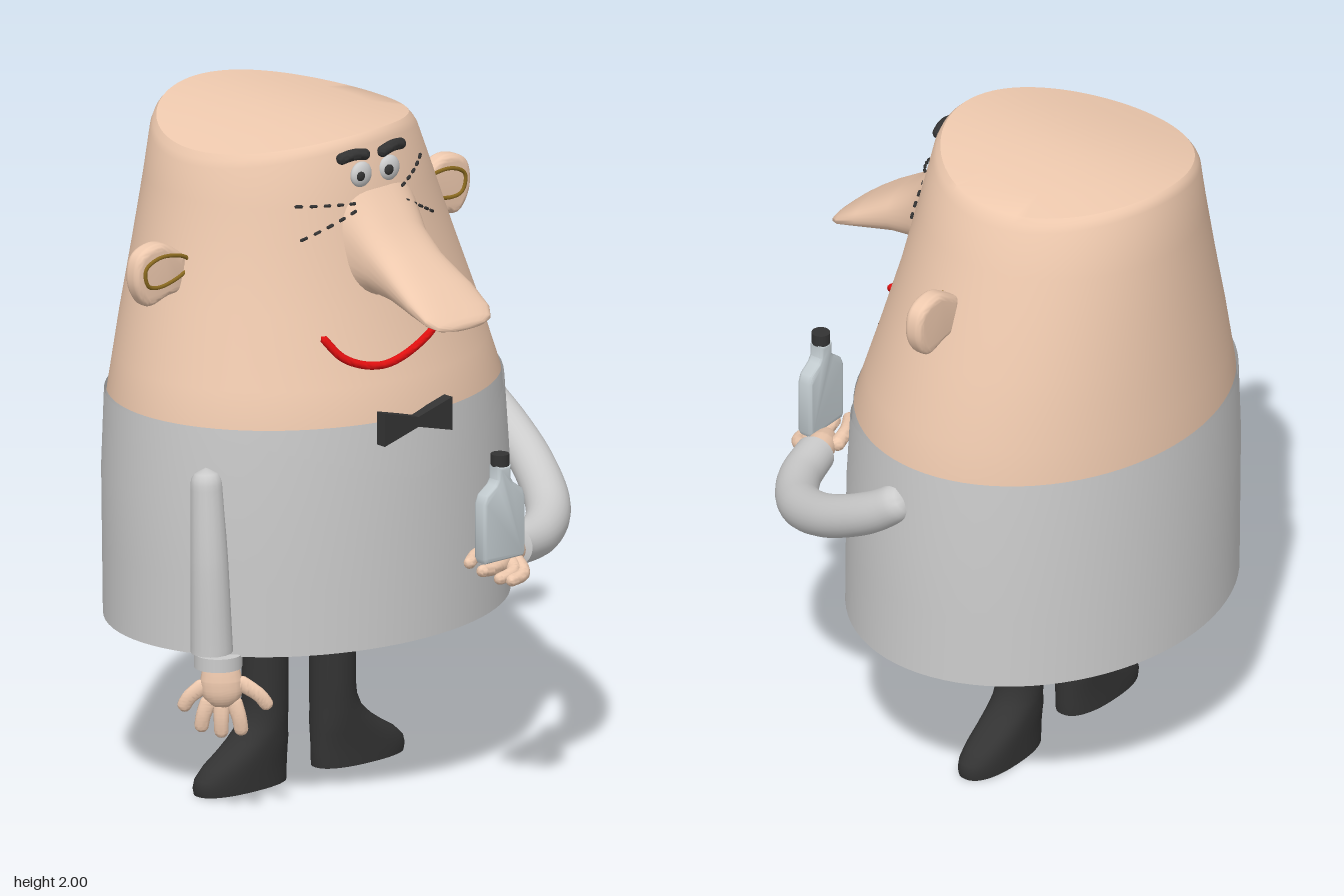
import * as THREE from 'three';
import { mergeVertices, toCreasedNormals } from 'three/addons/utils/BufferGeometryUtils.js';

const mat = (color, side = THREE.FrontSide) => new THREE.MeshStandardMaterial({ color, side });
const skin = mat(0xeec9ae), grey = mat(0xcccccc), shirtMat = mat(0xcccccc, THREE.DoubleSide);
const black = mat(0x333333), red = mat(0xe01010), gold = mat(0x8a6a20), glass = mat(0xc3ccd0);
const V = (x, y, z) => new THREE.Vector3(x, y, z);

function add(parent, name, geo, material) {
  const m = new THREE.Mesh(geo, material);
  m.name = name;
  parent.add(m);
  return m;
}

// Skin joining closed rings of points
function loft(rings, crease = 0.7) {
  const n = rings[0].length, pos = [], idx = [];
  rings.forEach(r => r.forEach(p => pos.push(p.x, p.y, p.z)));
  for (let i = 0; i < rings.length - 1; i++) {
    for (let j = 0; j < n; j++) {
      const k = (j + 1) % n, a = i * n + j, b = i * n + k, c = a + n, d = b + n;
      idx.push(a, c, b, b, c, d);
    }
  }
  const g = new THREE.BufferGeometry();
  g.setAttribute('position', new THREE.Float32BufferAttribute(pos, 3));
  g.setIndex(idx);
  return toCreasedNormals(g, crease);
}

// Rounded-box ring in two axes, p < 1 squares it off
function oval(a0, a1, b0, b1, p, place, n = 40) {
  const pw = v => Math.sign(v) * Math.abs(v) ** p;
  return Array.from({ length: n }, (_, i) => {
    const t = i / n * Math.PI * 2;
    return place((a0 + a1) / 2 + (a1 - a0) / 2 * pw(Math.cos(t)), (b0 + b1) / 2 + (b1 - b0) / 2 * pw(Math.sin(t)));
  });
}

// Tapered tube through points, rounded at the start and (optionally) the end
function limb(points, radii, roundEnd = true, seg = 36, sides = 16) {
  const curve = new THREE.CatmullRomCurve3(points), L = curve.getLength();
  let g = new THREE.TubeGeometry(curve, seg, 1, sides);
  const p = g.attributes.position, v = V();
  for (let i = 0; i <= seg; i++) {
    const t = i / seg, c = curve.getPointAt(t), f = t * (radii.length - 1);
    const k = Math.min(Math.floor(f), radii.length - 2);
    let r = THREE.MathUtils.lerp(radii[k], radii[k + 1], f - k);
    const d = (roundEnd ? Math.min(t, 1 - t) : t) * L;
    if (d < r) r *= Math.sqrt(Math.max(0, 1 - (1 - d / r) ** 2));
    if (i === seg) r = 0;
    for (let j = 0; j <= sides; j++) {
      const q = i * (sides + 1) + j;
      v.fromBufferAttribute(p, q).sub(c).multiplyScalar(r).add(c);
      p.setXYZ(q, v.x, v.y, v.z);
    }
  }
  g.deleteAttribute('uv');
  g.deleteAttribute('normal');
  return toCreasedNormals(mergeVertices(g), 1.1);
}

const line = (pts, r, closed = false) => new THREE.TubeGeometry(new THREE.CatmullRomCurve3(pts, closed), 60, r, 8, closed);

// Body sections: y, x min, x max, z front, z back
const SECTIONS = [
  [0.5, -0.625, 0.628, 0.36, -0.675], [0.95, -0.632, 0.622, 0.36, -0.675], [1.18, -0.62, 0.605, 0.35, -0.67],
  [1.4, -0.56, 0.545, 0.285, -0.655], [1.6, -0.5, 0.475, 0.235, -0.64], [1.8, -0.445, 0.4, 0.2, -0.625], [2, -0.395, 0.32, 0.17, -0.61]];
function section(y) {
  let i = 0;
  while (i < SECTIONS.length - 2 && y > SECTIONS[i + 1][0]) i++;
  const a = SECTIONS[i], b = SECTIONS[i + 1], t = (y - a[0]) / (b[0] - a[0]);
  const [, x0, x1, zf, zb] = a.map((v, k) => v + (b[k] - v) * t);
  return { cx: (x0 + x1) / 2, rx: (x1 - x0) / 2, cz: (zf + zb) / 2, rz: (zf - zb) / 2 };
}
// Ring around the body; height may vary with x and z
function bodyRing(y0, height, grow = 0, s = 1) {
  const base = section(y0);
  return Array.from({ length: 80 }, (_, i) => {
    const t = i / 80 * Math.PI * 2, c = Math.cos(t) * s, d = Math.sin(t) * s;
    const y = height(base.cx + base.rx * c, d), q = section(y);
    return V(q.cx + (q.rx + grow) * c, y, q.cz + (q.rz + grow) * d);
  });
}
// Point on the front of the body
function onFace(x, y, lift = 0) {
  const q = section(y), u = (x - q.cx) / q.rx;
  return V(x, y, q.cz + q.rz * Math.sqrt(Math.max(0, 1 - u * u)) + lift);
}

function buildBody(g) {
  const hem = x => 0.512 + 0.012 * x, crown = x => 2 - 0.45 * x * x;
  add(g, 'headAndBody', loft([
    bodyRing(0.5, x => hem(x) + 0.004, 0, 0), bodyRing(0.5, x => hem(x) + 0.004),
    ...[0.95, 1.18, 1.29, 1.4, 1.5, 1.6, 1.7, 1.8].map(y => bodyRing(y, () => y)),
    bodyRing(1.95, x => crown(x) - 0.03), bodyRing(1.95, x => crown(x) - 0.01, -0.005),
    ...[0.965, 0.7, 0.4, 0.2, 0].map(s => bodyRing(2, crown, 0, s))]), skin);
  // Shirt: a collar layer below an outer layer with a V neckline
  const neck = (x, d) => d > 0 ? Math.min(1.18, 0.995 + 0.31 * Math.abs(x + 0.03)) : 1.18;
  const wrap = (top, grow) => loft([0, 0.33, 0.66, 1].map(t =>
    bodyRing(0.95, (x, d) => THREE.MathUtils.lerp(hem(x), top(x, d), t), grow)));
  add(g, 'shirtCollar', wrap(() => 1.185, 0.003), shirtMat);
  add(g, 'shirt', wrap(neck, 0.008), shirtMat);
}

function buildFace(g) {
  // Nose sections: z, x min, x max, y min, y max
  const nose = [[0.14, -0.19, 0.15, 1.5, 1.9], [0.2, -0.165, 0.125, 1.515, 1.83], [0.26, -0.145, 0.105, 1.53, 1.745],
    [0.34, -0.14, 0.1, 1.525, 1.675], [0.45, -0.148, 0.112, 1.508, 1.6], [0.52, -0.142, 0.107, 1.495, 1.545],
    [0.55, -0.12, 0.085, 1.488, 1.52], [0.563, -0.08, 0.05, 1.488, 1.508], [0.566, -0.02, -0.02, 1.495, 1.495]];
  add(g, 'nose', loft(nose.map(([z, x0, x1, y0, y1]) => oval(x0, x1, -y1, -y0, 0.8, (x, y) => V(x, -y, z))), 1.2), skin);
  const mouth = [[-0.275, 1.44], [-0.22, 1.37], [-0.11, 1.34], [0.06, 1.385], [0.235, 1.472]];
  add(g, 'mouth', limb(mouth.map(([x, y]) => onFace(x, y, 0.003)), [0.012, 0.012], true, 60, 10), red);
  for (const [ex, px, b0, b1] of [[-0.09, -0.102, -0.165, -0.06], [0.015, 0.002, -0.025, 0.09]]) {
    const eye = add(g, 'eye', new THREE.SphereGeometry(0.038, 24, 16), grey);
    eye.position.copy(onFace(ex, 1.885));
    eye.scale.z = 0.5;
    const pupil = add(g, 'pupil', new THREE.SphereGeometry(0.016, 16, 12), black);
    pupil.position.copy(onFace(px, 1.885, 0.014));
    pupil.scale.z = 0.6;
    const mid = (b0 + b1) / 2;
    add(g, 'eyebrow', limb([onFace(b0, 1.935, 0.006), onFace(mid, 1.947, 0.008), onFace(b1, 1.94, 0.006)], [0.017, 0.017]), black);
  }
  // Dashed wrinkles beside the eyes
  for (const [x0, y0, x1, y1] of [[0.04, 1.83, 0.2, 1.885], [0.05, 1.79, 0.215, 1.705], [-0.13, 1.81, -0.3, 1.81], [-0.13, 1.79, -0.3, 1.705]]) {
    for (let i = 0; i < 5; i++) {
      const at = t => onFace(x0 + (x1 - x0) * t, y0 + (y1 - y0) * t, 0.004 + 0.018 * (1 - t));
      add(g, 'wrinkleDash', limb([at(i / 5), at(i / 5 + 0.12)], [0.005, 0.005], true, 8, 6), black);
    }
  }
  // Ears with an inner ridge
  const outline = [[-0.1, 0.04], [-0.01, 0.09], [0.075, 0.065], [0.09, -0.02], [0.045, -0.09], [-0.03, -0.075], [-0.1, -0.055]];
  const ridge = [[-0.1, 0.03], [0, 0.052], [0.06, 0.025], [0.05, -0.025], [0, -0.036], [-0.1, 0]];
  for (const [name, s, x, y] of [['leftEar', 1, 0.53, 1.657], ['rightEar', -1, -0.58, 1.608]]) {
    const ear = new THREE.Group();
    ear.name = name;
    ear.position.set(x, y, -0.165);
    const shape = new THREE.Shape(new THREE.SplineCurve([...outline, outline[0]].map(([u, v]) => new THREE.Vector2(u * s, v))).getPoints(40));
    const geo = new THREE.ExtrudeGeometry(shape, { depth: 0.02, bevelThickness: 0.02, bevelSize: 0.02, bevelOffset: -0.02, bevelSegments: 5 });
    geo.translate(0, 0, -0.01);
    add(ear, 'earShell', toCreasedNormals(geo, 0.8), skin);
    add(ear, 'earRidge', line(ridge.map(([u, v]) => V(u * s, v, 0.031)), 0.006, true), gold);
    g.add(ear);
  }
}

function buildArms(g) {
  // Hanging right arm
  add(g, 'rightSleeve', limb([V(-0.58, 1.07, 0.06), V(-0.585, 0.8, 0.08), V(-0.577, 0.505, 0.083)], [0.045, 0.055, 0.062], false), grey);
  add(g, 'rightCuff', new THREE.CylinderGeometry(0.07, 0.07, 0.04, 28), grey).position.set(-0.555, 0.492, 0.085);
  const hand = new THREE.Group();
  hand.name = 'rightHand';
  hand.position.set(-0.545, 0, 0.088);
  hand.rotation.y = -Math.PI / 4;
  hand.scale.z = 0.65;
  add(hand, 'palm', limb([V(0, 0.51, 0), V(0, 0.43, 0), V(0.005, 0.345, 0)], [0.045, 0.062, 0.06]), skin);
  for (const [x0, y0, x1, y1] of [[-0.04, 0.42, -0.115, 0.335], [-0.03, 0.38, -0.06, 0.272], [0, 0.37, 0, 0.256], [0.03, 0.38, 0.06, 0.264], [0.04, 0.43, 0.14, 0.345]]) {
    add(hand, 'finger', limb([V(x0, y0, 0), V(x0 * 0.3 + x1 * 0.7, (y0 + y1) / 2, 0.01), V(x1, y1, 0)], [0.026, 0.022, 0.02]), skin);
  }
  g.add(hand);
  // Bent left arm holding the bottle
  add(g, 'leftSleeve', limb([V(0.6, 1.08, -0.14), V(0.613, 0.99, -0.02), V(0.575, 0.88, 0.18), V(0.475, 0.805, 0.36),
    V(0.34, 0.78, 0.47), V(0.19, 0.782, 0.522)], [0.055, 0.062, 0.064, 0.066, 0.063, 0.059], false, 48, 24), grey);
  add(g, 'leftPalm', limb([V(0.23, 0.78, 0.51), V(0.16, 0.772, 0.535), V(0.07, 0.757, 0.58)], [0.04, 0.043, 0.028]), skin);
  for (const [a, b, c] of [[V(0.14, 0.775, 0.5), V(0.06, 0.785, 0.52), V(-0.02, 0.78, 0.57)], [V(0.13, 0.755, 0.55), V(0.06, 0.758, 0.59), V(-0.01, 0.765, 0.605)],
    [V(0.15, 0.76, 0.56), V(0.11, 0.745, 0.62), V(0.03, 0.738, 0.635)], [V(0.17, 0.76, 0.56), V(0.13, 0.74, 0.64), V(0.055, 0.733, 0.66)]]) {
    add(g, 'leftFinger', limb([a, b, c], [0.024, 0.02, 0.017]), skin);
  }
}

function buildAccessories(g) {
  // Flat bottle with cap
  const half = [[0.072, 0.785], [0.08, 0.8], [0.08, 0.965], [0.07, 0.99], [0.035, 1.015], [0.025, 1.03], [0.025, 1.07]];
  const outline = [...half, ...half.map(([x, y]) => [-x, y]).reverse()].map(([x, y]) => new THREE.Vector2(x, y));
  const geo = new THREE.ExtrudeGeometry(new THREE.Shape(outline), { depth: 0.026, bevelThickness: 0.012, bevelSize: 0.012, bevelOffset: -0.012, bevelSegments: 4 });
  geo.translate(0.08, 0, 0.583);
  add(g, 'bottle', toCreasedNormals(geo, 0.6), glass);
  add(g, 'bottleCap', new THREE.CylinderGeometry(0.027, 0.027, 0.035, 24), black).position.set(0.08, 1.085, 0.596);
  // Bow tie
  const bow = [[-0.13, -0.05], [0, -0.015], [0.13, -0.05], [0.13, 0.05], [0, 0.015], [-0.13, 0.05]].map(([x, y]) => new THREE.Vector2(x, y));
  add(g, 'bowTie', new THREE.ExtrudeGeometry(new THREE.Shape(bow), { depth: 0.035, bevelEnabled: false }), black).position.set(-0.04, 1.172, 0.342);
}

// Leg and outward-pointing shoe in one: y, heel x, toe x
function buildLegs(g) {
  const rows = [[0, 0.19, 0.19], [0, 0.025, 0.35], [0.02, 0.023, 0.355], [0.045, 0.023, 0.348], [0.075, 0.023, 0.315], [0.105, 0.023, 0.265],
    [0.135, 0.023, 0.22], [0.17, 0.023, 0.185], [0.21, 0.023, 0.165], [0.25, 0.023, 0.16], [0.53, 0.023, 0.16]];
  for (const [name, s, shift] of [['leftLeg', 1, 0], ['rightLeg', -1, -0.077]]) {
    add(g, name, loft(rows.map(([y, a, b]) => {
      const r = a === b ? 0 : 0.068, x0 = s > 0 ? a : -b, x1 = s > 0 ? b : -a;
      return oval(x0 + shift, x1 + shift, -0.148 - r, -0.148 + r, y < 0.15 ? 0.85 : 1, (x, z) => V(x, y, z));
    }), 0.9), black);
  }
}

export function createModel() {
  const g = new THREE.Group();
  g.name = 'figure';
  [buildBody, buildFace, buildArms, buildAccessories, buildLegs].forEach(build => build(g));
  return g;
}
